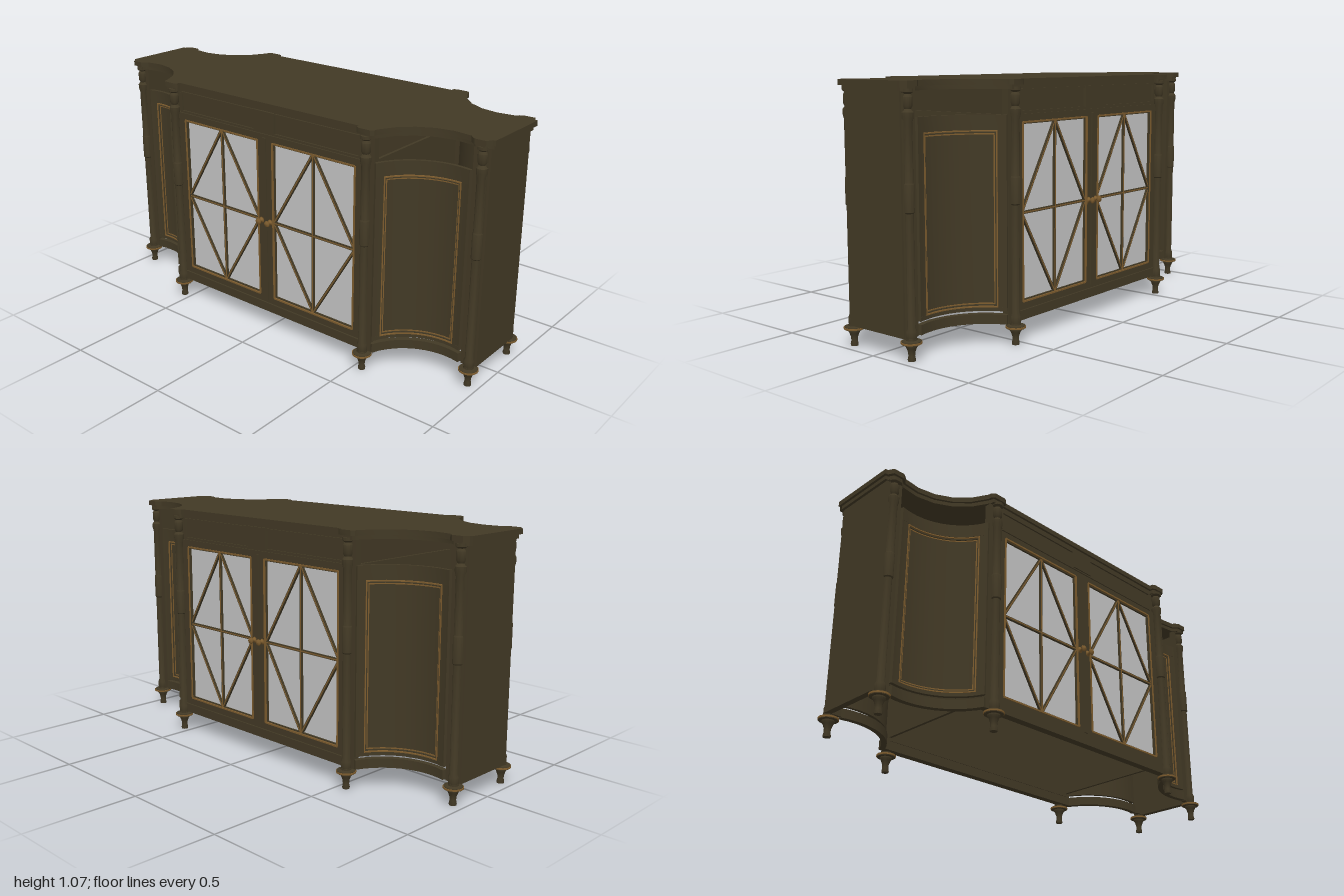
import * as THREE from 'three';
import { toCreasedNormals } from 'three/addons/utils/BufferGeometryUtils.js';

const mat = (name, color, side = THREE.FrontSide) => {
  const m = new THREE.MeshStandardMaterial({ color, side });
  m.name = name;
  return m;
};

// Concave corner arc in plan: centre, and start/end angle
const CX = 0.83, CZ = 0.42, A0 = 3.49, A1 = 4.98;

function arcPoints(r, a0, a1, n, sx = 1, sz = 1) {
  const pts = [];
  for (let i = 0; i <= n; i++) {
    const a = a0 + (a1 - a0) * i / n;
    pts.push(new THREE.Vector2(sx * (CX + r * Math.cos(a)), sz * (CZ + r * Math.sin(a))));
  }
  return pts;
}

// Extrude a plan outline (x, z) from y0 up to y1
function slab(points, y0, y1) {
  const g = new THREE.ExtrudeGeometry(new THREE.Shape(points), { depth: y1 - y0, bevelEnabled: false });
  g.rotateX(Math.PI / 2);
  g.translate(0, y1, 0);
  return toCreasedNormals(g, 0.5);
}

export function createModel() {
  const root = new THREE.Group();
  root.name = 'sideboard';
  const wood = mat('dark wood', 0x423925);
  const gold = mat('aged gold', 0x7d5c2e);
  const glass = mat('grey glass', 0xc4c4c4);

  const add = (parent, name, geo, material) => {
    const m = new THREE.Mesh(geo, material);
    m.name = name;
    parent.add(m);
    return m;
  };
  // Box given by its limits
  const box = (parent, name, x0, x1, y0, y1, z0, z1, material = wood) => {
    const m = add(parent, name, new THREE.BoxGeometry(x1 - x0, y1 - y0, z1 - z0), material);
    m.position.set((x0 + x1) / 2, (y0 + y1) / 2, (z0 + z1) / 2);
    return m;
  };
  // Thin strip between two points on a vertical plane
  const bar = (parent, name, a, b, z, w, d, material) => {
    const dx = b[0] - a[0], dy = b[1] - a[1];
    const m = add(parent, name, new THREE.BoxGeometry(Math.hypot(dx, dy), w, d), material);
    m.position.set((a[0] + b[0]) / 2, (a[1] + b[1]) / 2, z);
    m.rotation.z = Math.atan2(dy, dx);
    return m;
  };
  // Rectangular moulding
  const moulding = (parent, name, x0, x1, y0, y1, z, w, material) => {
    bar(parent, name, [x0, y0], [x1, y0], z, w, 0.008, material);
    bar(parent, name, [x0, y1], [x1, y1], z, w, 0.008, material);
    bar(parent, name, [x0, y0], [x0, y1], z, w, 0.008, material);
    bar(parent, name, [x1, y0], [x1, y1], z, w, 0.008, material);
  };

  // Top: one quarter outline mirrored around, with small breaks over the posts
  const topOutline = (inset) => {
    const e = inset;
    const quarter = [
      [0.50 + e, 0.335 - e], [0.50 + e, 0.35 - e], [0.515, 0.358 - e], [0.57, 0.358 - e], [0.582 - e, 0.345 - e],
      ...arcPoints(0.262 + e, A0, A1, 5).map(p => [p.x, p.y]),
      [0.91 + e, 0.18 - e], [0.925, 0.19 - e], [0.975 - e, 0.19 - e], [0.988 - e, 0.165 - e], [1 - e, 0.163 - e],
    ];
    const back = [...quarter].reverse();
    return [
      ...quarter, ...back.map(([x, z]) => [x, -z]),
      ...quarter.map(([x, z]) => [-x, -z]), ...back.map(([x, z]) => [-x, z]),
    ].map(([x, z]) => new THREE.Vector2(x, z));
  };
  add(root, 'top', slab(topOutline(0), 1.043, 1.065), wood);
  add(root, 'topMoulding', slab(topOutline(0.01), 1.026, 1.043), wood);

  // Doors and drawer rail, same on both long sides
  for (const turn of [0, Math.PI]) {
    const face = new THREE.Group();
    face.name = turn ? 'backFace' : 'frontFace';
    face.rotation.y = turn;
    root.add(face);
    box(face, 'innerLining', -0.55, 0.55, 0.13, 1.03, 0.297, 0.305);
    box(face, 'bottomRail', -0.54, 0.54, 0.09, 0.13, 0.30, 0.335);
    box(face, 'lowerDoorRail', -0.52, 0.52, 0.13, 0.162, 0.30, 0.328);
    box(face, 'upperDoorRail', -0.52, 0.52, 0.895, 0.925, 0.30, 0.328);
    box(face, 'drawerPanel', -0.52, 0.52, 0.92, 1.03, 0.30, 0.322);
    moulding(face, 'drawerTrim', -0.50, 0.50, 0.933, 1.02, 0.325, 0.009, wood);
    box(face, 'centreBlock', -0.058, 0.058, 0.935, 1.027, 0.32, 0.334);
    box(face, 'centreStile', -0.042, 0.042, 0.13, 0.925, 0.30, 0.328);
    box(face, 'doorGap', -0.008, 0.008, 0.145, 0.91, 0.328, 0.334);
    for (const s of [-1, 1]) {
      const mid = 0.26 * s, inn = 0.042 * s, out = 0.48 * s;
      box(face, 'outerStile', s * 0.505 - 0.03, s * 0.505 + 0.03, 0.13, 0.925, 0.30, 0.328);
      box(face, 'glass', mid - 0.22, mid + 0.22, 0.16, 0.897, 0.309, 0.315, glass);
      moulding(face, 'glassTrim', inn, out, 0.163, 0.893, 0.328, 0.007, gold);
      moulding(face, 'glassBead', inn + s * 0.005, out - s * 0.005, 0.168, 0.888, 0.321, 0.006, wood);
      // Diamond and cross glazing bars, gilded along the middle
      const N = [mid, 0.893], S = [mid, 0.163], I = [inn, 0.528], O = [out, 0.528];
      for (const [a, b] of [[N, I], [N, O], [S, I], [S, O], [N, S], [I, O]]) {
        bar(face, 'glazingBar', a, b, 0.318, 0.012, 0.012, wood);
        bar(face, 'glazingBarGilding', a, b, 0.324, 0.005, 0.003, gold);
      }
      // Knob
      const knob = add(face, 'knob', new THREE.LatheGeometry(
        [[0, 0], [0.014, 0], [0.012, 0.004], [0.006, 0.008], [0.006, 0.014], [0.015, 0.022], [0.012, 0.028], [0, 0.03]]
          .map(p => new THREE.Vector2(...p)), 12), gold);
      knob.rotation.x = Math.PI / 2;
      knob.position.set(s * 0.025, 0.528, 0.328);
    }
  }

  // End walls and inner partitions
  for (const s of [-1, 1]) {
    const x = s * 0.966;
    box(root, 'endWall', x - 0.013, x + 0.013, 0.09, 1.03, -0.152, 0.152);
    box(root, 'partition', s * 0.55 - 0.006, s * 0.55 + 0.006, 0.145, 0.925, -0.30, 0.30);
  }

  // Turned post and foot profiles
  const lathe = (pts) => toCreasedNormals(
    new THREE.LatheGeometry(pts.map(p => new THREE.Vector2(...p)), 16), 0.6);
  const postGeo = lathe([[0, 0.085], [0.02, 0.085], [0.022, 0.095], [0.022, 0.118], [0.017, 0.13], [0.017, 0.57],
    [0.021, 0.575], [0.021, 0.68], [0.018, 0.685], [0.018, 0.91], [0.023, 0.93], [0.023, 0.948], [0.014, 0.96],
    [0.02, 0.972], [0.02, 1.005], [0.014, 1.015], [0.023, 1.022], [0.023, 1.035], [0, 1.035]]);
  const footGeo = lathe([[0, 0], [0.015, 0], [0.016, 0.006], [0.013, 0.02], [0.014, 0.035], [0.02, 0.052],
    [0.026, 0.062], [0.026, 0.067], [0.039, 0.068], [0.039, 0.08], [0.022, 0.083], [0.022, 0.09], [0, 0.09]]);
  const beadGeo = new THREE.CylinderGeometry(0.042, 0.042, 0.007, 16);

  for (const sx of [-1, 1]) for (const sz of [-1, 1]) {
    const corner = new THREE.Group();
    corner.name = (sx > 0 ? 'left' : 'right') + (sz > 0 ? 'Front' : 'Back') + 'Corner';
    root.add(corner);
    for (const [x, z] of [[0.538, 0.337], [0.95, 0.163]]) {
      add(corner, 'post', postGeo, wood).position.set(sx * x, 0, sz * z);
      add(corner, 'foot', footGeo, wood).position.set(sx * x, 0, sz * z);
      add(corner, 'footBead', beadGeo, gold).position.set(sx * x, 0.074, sz * z);
    }
    // Narrow stiles joining each post to the body
    box(corner, 'postStile', sx * 0.555 - 0.018, sx * 0.555 + 0.018, 0.09, 1.03, sz * 0.315 - 0.015, sz * 0.315 + 0.015);
    box(corner, 'endStile', sx * 0.94 - 0.03, sx * 0.94 + 0.03, 0.09, 1.03, sz * 0.15 - 0.012, sz * 0.15 + 0.012);

    // Curved panel parts
    const band = (name, r0, r1, a0, a1, y0, y1, material = wood) => add(corner, name,
      slab([...arcPoints(r0, a0, a1, 10, sx, sz), ...arcPoints(r1, a0, a1, 10, sx, sz).reverse()], y0, y1), material);
    const b0 = A0 + 0.14, b1 = A1 - 0.14;
    band('curvedBottomRail', 0.262, 0.285, A0, A1, 0.09, 0.13);
    band('curvedPanel', 0.271, 0.279, A0, A1, 0.143, 0.927);
    band('panelUpperRail', 0.264, 0.272, A0, A1, 0.868, 0.927);
    band('panelLowerRail', 0.264, 0.272, A0, A1, 0.143, 0.16);
    band('panelStile', 0.264, 0.272, A0, b0, 0.16, 0.868);
    band('panelStile', 0.264, 0.272, b1, A1, 0.16, 0.868);
    // Gilded inner moulding with a wooden bead
    for (const [k, m, r] of [[0, gold, 0.262], [0.022, wood, 0.266], [0.044, gold, 0.269]]) {
      const c0 = b0 + k, c1 = b1 - k, y0 = 0.158 + k * 0.27, y1 = 0.866 - k * 0.27;
      band('panelMoulding', r, 0.272, c0, c1, y0, y0 + 0.005, m);
      band('panelMoulding', r, 0.272, c0, c1, y1 - 0.005, y1, m);
      band('panelMoulding', r, 0.272, c0, c0 + 0.02, y0, y1, m);
      band('panelMoulding', r, 0.272, c1 - 0.02, c1, y0, y1, m);
    }
  }
  return root;
}
